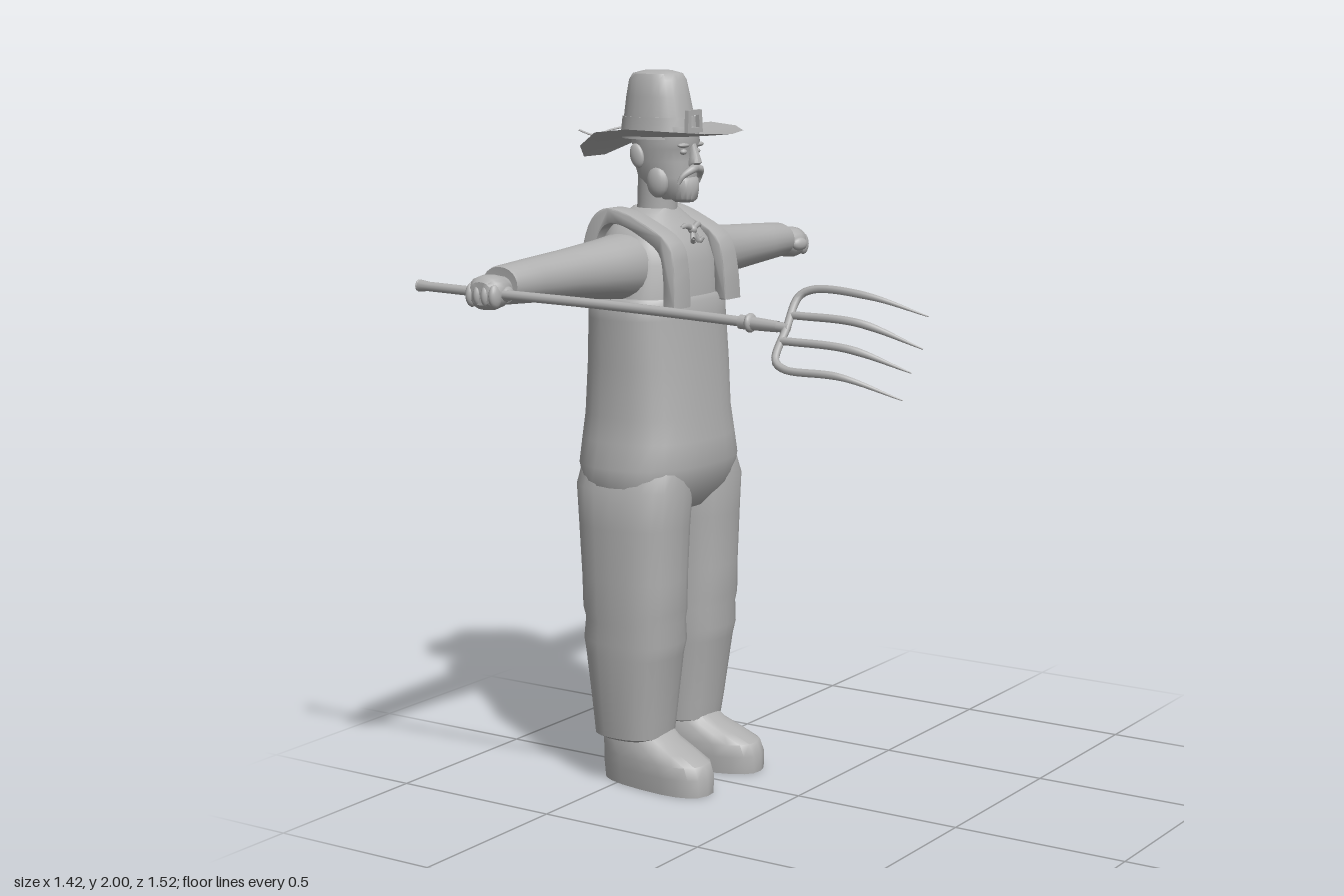
import * as THREE from 'three';
import { toCreasedNormals } from 'three/addons/utils/BufferGeometryUtils.js';

const clay = new THREE.MeshStandardMaterial({ color: 0xb0b0b0, side: THREE.DoubleSide });
clay.name = 'clayGrey';

const v = (x, y, z) => new THREE.Vector3(x, y, z);

// Closed skin over superellipse rings [y, centreX, radiusX, radiusZ, centreZ]
function loft(rings, power = 2, sides = 24, crease = 0.8) {
  const pos = [], index = [];
  const bend = (c) => Math.sign(c) * Math.abs(c) ** (2 / power);
  for (const [y, cx, rx, rz, cz = 0] of rings) {
    for (let j = 0; j < sides; j++) {
      const a = (j / sides) * Math.PI * 2;
      pos.push(cx + rx * bend(Math.cos(a)), y, cz + rz * bend(Math.sin(a)));
    }
  }
  const last = rings.length - 1, lo = rings.length * sides, hi = lo + 1;
  for (const r of [rings[0], rings[last]]) pos.push(r[1], r[0], r[4] || 0);
  for (let j = 0; j < sides; j++) {
    const k = (j + 1) % sides;
    for (let i = 0; i < last; i++) {
      const a = i * sides + j, b = i * sides + k;
      index.push(a, a + sides, b, b, a + sides, b + sides);
    }
    index.push(lo, j, k, hi, last * sides + k, last * sides + j);
  }
  const g = new THREE.BufferGeometry();
  g.setAttribute('position', new THREE.Float32BufferAttribute(pos, 3));
  g.setIndex(index);
  return toCreasedNormals(g, crease);
}

// Tube along points whose radius follows a rule of t
function taperTube(points, radius, segs = 24, sides = 8) {
  const path = new THREE.CatmullRomCurve3(points);
  const g = new THREE.TubeGeometry(path, segs, 1, sides);
  const p = g.attributes.position, q = v(0, 0, 0);
  for (let i = 0; i < p.count; i++) {
    const t = Math.floor(i / (sides + 1)) / segs, c = path.getPointAt(t);
    q.fromBufferAttribute(p, i).sub(c).multiplyScalar(radius(t)).add(c);
    p.setXYZ(i, q.x, q.y, q.z);
  }
  return g;
}

export function createModel() {
  const model = new THREE.Group();
  model.name = 'farmer';
  const add = (name, geometry, parent = model) => {
    const m = new THREE.Mesh(geometry, clay);
    m.name = name;
    parent.add(m);
    return m;
  };
  const blob = (name, x, y, z, rx, ry, rz, parent = model) => {
    const m = add(name, new THREE.SphereGeometry(1, 16, 12), parent);
    m.position.set(x, y, z);
    m.scale.set(rx, ry, rz);
    return m;
  };

  // Overalls and shirt
  add('overallsBody', loft([
    [0.79, -0.463, 0.12, 0.2], [0.85, -0.463, 0.169, 0.238], [0.92, -0.465, 0.19, 0.24],
    [0.99, -0.465, 0.186, 0.225], [1.06, -0.465, 0.176, 0.217], [1.2, -0.463, 0.168, 0.213],
    [1.33, -0.465, 0.158, 0.214], [1.375, -0.465, 0.157, 0.215], [1.388, -0.465, 0.15, 0.205],
  ], 2.5, 32));
  add('shirt', loft([
    [1.36, -0.463, 0.145, 0.19], [1.48, -0.463, 0.143, 0.178], [1.54, -0.468, 0.13, 0.158],
    [1.58, -0.475, 0.102, 0.125], [1.61, -0.475, 0.075, 0.085], [1.625, -0.47, 0.06, 0.062],
  ], 2.4, 32));
  const collar = add('collar', new THREE.TorusGeometry(0.064, 0.012, 8, 24));
  collar.position.set(-0.462, 1.605, 0);
  collar.rotation.set(Math.PI / 2, -0.2, 0);

  // Shoulder straps, following the chest, shoulder and back
  const outer = new THREE.SplineCurve([
    [-0.297, 1.37], [-0.302, 1.46], [-0.325, 1.54], [-0.415, 1.593], [-0.49, 1.62],
    [-0.55, 1.62], [-0.59, 1.575], [-0.613, 1.48], [-0.622, 1.37],
  ].map(([x, y]) => new THREE.Vector2(x, y))).getPoints(28);
  const inner = outer
    .map((p) => new THREE.Vector2(-0.46 + (p.x + 0.46) * 0.8, 1.37 + (p.y - 1.37) * 0.87))
    .reverse();
  for (const s of [1, -1]) {
    const g = new THREE.ExtrudeGeometry(new THREE.Shape([...outer, ...inner]), {
      depth: 0.058, bevelThickness: 0.006, bevelSize: 0.004, bevelSegments: 2,
    });
    g.translate(0, 0, s > 0 ? 0.084 : -0.142);
    const p = g.attributes.position;
    for (let i = 0; i < p.count; i++) p.setZ(i, p.getZ(i) * (1 + (1.6 - p.getY(i)) * 0.4));
    add('strap', toCreasedNormals(g, 0.6));
  }

  // Neck tie
  const tie = new THREE.Group();
  tie.name = 'neckTie';
  model.add(tie);
  blob('tieKnot', -0.345, 1.568, 0, 0.013, 0.013, 0.013, tie);
  for (const s of [1, -1]) {
    for (const [dy, dz, dx] of [[0.012, 0.045, -0.008], [-0.032, 0.024, 0.018]]) {
      add('tieLoop', taperTube([
        v(-0.345, 1.568, 0), v(-0.343 + dx / 2, 1.568 + dy, s * dz * 0.6), v(-0.343 + dx, 1.568 + dy * 0.7, s * dz),
      ], (t) => 0.005 + 0.004 * Math.sin(t * Math.PI), 8, 6), tie);
    }
  }

  for (const s of [1, -1]) {
    // Trouser legs with knee folds and cuffs
    add('trouserLeg', loft([
      [0.135, -0.478, 0.09, 0.082, s * 0.117], [0.145, -0.475, 0.109, 0.1, s * 0.117],
      [0.2, -0.472, 0.114, 0.106, s * 0.119], [0.38, -0.467, 0.136, 0.116, s * 0.124],
      [0.42, -0.465, 0.145, 0.118, s * 0.124], [0.48, -0.462, 0.139, 0.118, s * 0.125],
      [0.51, -0.463, 0.147, 0.119, s * 0.126], [0.6, -0.463, 0.149, 0.119, s * 0.126],
      [0.75, -0.463, 0.158, 0.121, s * 0.125], [0.86, -0.463, 0.168, 0.12, s * 0.122],
      [0.92, -0.463, 0.16, 0.1, s * 0.115],
    ], 2.5));

    // Shoes
    const shoe = add('shoe', loft([
      [0, 0.175, 0.184, 0.078], [0.05, 0.174, 0.186, 0.083], [0.085, 0.168, 0.178, 0.083],
      [0.11, 0.14, 0.15, 0.08], [0.135, 0.112, 0.12, 0.075], [0.17, 0.098, 0.09, 0.068],
    ], 2.6, 20, 0.9));
    shoe.position.set(-0.57, 0, s * 0.093);
    shoe.rotation.y = -s * 0.12;

    // Arms stretched out sideways
    const arm = new THREE.Group();
    arm.name = s > 0 ? 'forkArm' : 'freeArm';
    arm.position.set(0, 1.473, 0);
    arm.rotation.x = s * Math.PI / 2;
    model.add(arm);
    add('sleeve', loft([
      [0.09, -0.475, 0.085, 0.08], [0.17, -0.475, 0.093, 0.09], [0.25, -0.481, 0.083, 0.08],
      [0.4, -0.488, 0.071, 0.067], [0.55, -0.49, 0.063, 0.058], [0.655, -0.49, 0.06, 0.051],
      [0.665, -0.49, 0.057, 0.048], [0.664, -0.49, 0.04, 0.035],
    ], 2.1), arm);
    add('hand', loft([
      [0.64, -0.487, 0.035, 0.032, s * 0.01], [0.672, -0.487, 0.039, 0.036, s * 0.01],
      [0.69, -0.486, 0.048, 0.043, s * 0.012], [0.715, -0.485, 0.053, 0.046, s * 0.012],
      [0.738, -0.485, 0.05, 0.043, s * 0.012], [0.752, -0.485, 0.036, 0.03, s * 0.012],
    ], 2.2, 20), arm);
    for (let i = 0; i < 4; i++) {
      blob('finger', -0.523 + i * 0.025, 0.737, s * 0.018, 0.0145, 0.022, 0.032, arm);
    }
    blob('thumb', -0.438, 0.7, s * 0.015, 0.015, 0.028, 0.02, arm).rotation.z = -0.3;
  }

  // Head
  const head = new THREE.Group();
  head.name = 'head';
  model.add(head);
  add('neck', loft([[1.57, -0.468, 0.062, 0.058], [1.64, -0.462, 0.056, 0.054], [1.74, -0.455, 0.06, 0.058]]), head);
  add('skull', loft([
    [1.65, -0.405, 0.04, 0.035], [1.675, -0.415, 0.068, 0.058], [1.71, -0.427, 0.084, 0.068],
    [1.755, -0.434, 0.09, 0.073], [1.79, -0.434, 0.092, 0.077], [1.805, -0.432, 0.098, 0.078],
    [1.85, -0.44, 0.098, 0.078],
  ], 2.2), head);
  add('chinBeard', loft([
    [1.643, -0.372, 0.026, 0.024], [1.652, -0.373, 0.037, 0.037], [1.68, -0.374, 0.042, 0.043],
    [1.705, -0.376, 0.04, 0.046], [1.718, -0.38, 0.03, 0.04],
  ], 2.2, 16), head);
  add('nose', loft([
    [1.742, -0.345, 0.018, 0.015], [1.752, -0.337, 0.022, 0.018], [1.768, -0.338, 0.018, 0.014],
    [1.805, -0.345, 0.01, 0.01],
  ], 2, 12), head);
  for (const s of [1, -1]) {
    blob('ear', -0.475, 1.77, s * 0.077, 0.022, 0.034, 0.011, head).rotation.z = 0.25;
    blob('sideWhisker', -0.418, 1.7, s * 0.06, 0.034, 0.044, 0.022, head);
    add('moustache', taperTube([
      v(-0.335, 1.738, 0), v(-0.333, 1.733, s * 0.02), v(-0.348, 1.715, s * 0.042), v(-0.358, 1.695, s * 0.048),
    ], (t) => 0.014 - 0.009 * t, 10), head);
    blob('eyebrow', -0.349, 1.8, s * 0.034, 0.012, 0.007, 0.024, head);
    blob('eye', -0.352, 1.782, s * 0.032, 0.01, 0.008, 0.012, head);
  }

  // Hat with drooping back brim
  const hat = new THREE.Group();
  hat.name = 'hat';
  model.add(hat);
  add('crown', loft([
    [1.815, -0.453, 0.108, 0.086], [1.85, -0.453, 0.105, 0.083], [1.93, -0.456, 0.091, 0.074],
    [1.975, -0.457, 0.081, 0.068], [1.992, -0.457, 0.07, 0.06], [2, -0.457, 0.04, 0.034],
  ], 2.2), hat);
  add('hatBand', loft([[1.83, -0.453, 0.111, 0.088], [1.875, -0.454, 0.105, 0.083]], 2.2), hat);
  const brim = new THREE.RingGeometry(0.4, 1, 13, 5);
  const bp = brim.attributes.position;
  for (let i = 0; i < bp.count; i++) {
    const x = bp.getX(i), z = -bp.getY(i), r = Math.hypot(x, z), c = x / r;
    const t = Math.max(0, (r - 0.4) / 0.6);
    const lift = 0.028 * (1 - c * c) + (c > 0 ? 0.012 : -0.07) * c * c;
    bp.setXYZ(i, -0.448 + x * 0.236, 1.822 + lift * t ** 1.3, z * 0.206);
  }
  brim.computeVertexNormals();
  add('brim', brim, hat);
  const frame = new THREE.Shape([[-0.036, 0], [0.036, 0], [0.032, 0.062], [-0.032, 0.062]].map((p) => new THREE.Vector2(...p)));
  frame.holes.push(new THREE.Path([[-0.02, 0.014], [-0.018, 0.048], [0.018, 0.048], [0.02, 0.014]].map((p) => new THREE.Vector2(...p))));
  const buckle = add('buckle', new THREE.ExtrudeGeometry(frame, { depth: 0.012, bevelEnabled: false }), hat);
  buckle.position.set(-0.345, 1.833, 0);
  buckle.rotation.y = Math.PI / 2;
  for (const s of [1, -1]) {
    add('hatString', taperTube([
      v(-0.555, 1.845, 0), v(-0.59, 1.835, s * 0.035), v(-0.625, 1.82, s * 0.07), v(-0.655, 1.825 + s * 0.01, s * 0.1),
    ], () => 0.003, 10, 5), hat);
  }

  // Pitchfork
  const fork = new THREE.Group();
  fork.name = 'pitchfork';
  model.add(fork);
  add('handle', taperTube([
    v(-0.71, 1.465, 0.725), v(-0.5, 1.46, 0.72), v(-0.15, 1.452, 0.698), v(0.2, 1.438, 0.673), v(0.39, 1.428, 0.663),
  ], (t) => (t < 0.03 ? 0.016 : 0.0125), 32, 10), fork);
  blob('handleEnd', -0.707, 1.465, 0.725, 0.006, 0.016, 0.016, fork);
  add('ferrule', taperTube([v(0.255, 1.435, 0.67), v(0.31, 1.432, 0.667), v(0.36, 1.43, 0.665)],
    (t) => 0.018 - 0.004 * t, 8, 10), fork);
  blob('ferruleRing', 0.283, 1.434, 0.668, 0.012, 0.024, 0.024, fork);
  const tines = [[1.517, 0.6, 1.465, 0.54], [1.457, 0.643, 1.39, 0.565], [1.4, 0.688, 1.34, 0.62], [1.34, 0.732, 1.28, 0.66]];
  tines.forEach(([y, z, tipY, tipZ], i) => {
    const tip = [v(0.42, y, z), v(0.57, y - 0.008, z - 0.012), v(0.705, tipY, tipZ)];
    const root = i % 3 === 0
      ? [v(0.385, 1.428, 0.666), v(0.387, 1.428 + (y - 1.428) * 0.8, 0.666 + (z - 0.666) * 0.8)]
      : [v(0.385, y, z)];
    add('tine', taperTube([...root, ...tip], (t) => (t < 0.6 ? 0.01 : 0.01 - 0.021 * (t - 0.6)), 32), fork);
  });
  return model;
}
